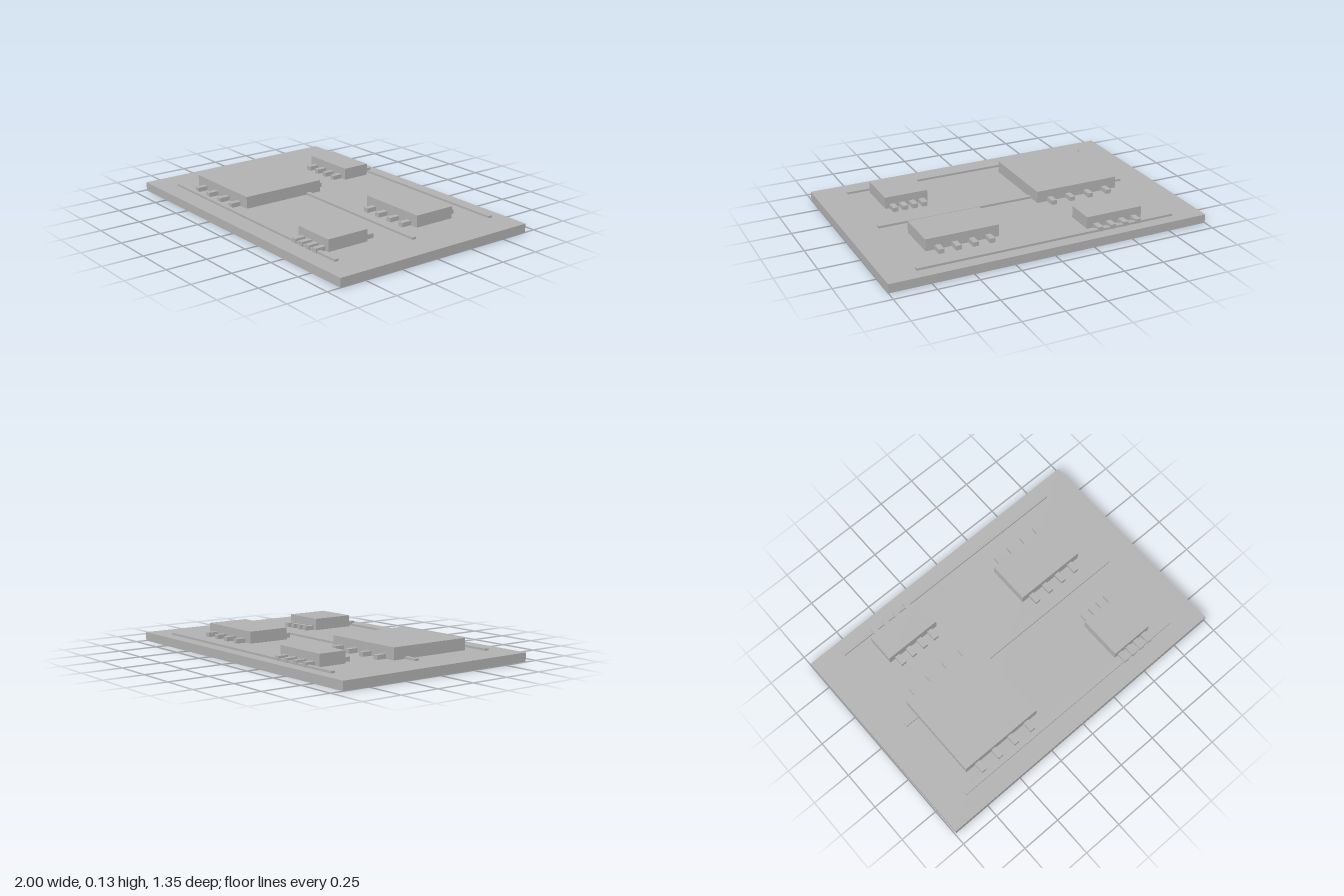
import * as THREE from 'three';

export function createModel() {
  const model = new THREE.Group();
  model.name = 'circuitBoard';
  const grey = new THREE.MeshStandardMaterial({ color: 0xb2b2b2 });
  grey.name = 'plain grey';

  const boardTop = 0.054;

  // Box given by its extents in x and z, standing on the board
  function addBox(parent, name, x0, x1, z0, z1, height) {
    const mesh = new THREE.Mesh(new THREE.BoxGeometry(x1 - x0, height, z1 - z0), grey);
    mesh.position.set((x0 + x1) / 2, boardTop + height / 2, (z0 + z1) / 2);
    mesh.name = name;
    parent.add(mesh);
  }

  // Board: a slightly skewed slab; shape y is -z
  const outline = new THREE.Shape([
    [-0.992, -0.675], [1, -0.664], [1, 0.679], [-1, 0.671],
  ].map(([x, y]) => new THREE.Vector2(x, y)));
  const slab = new THREE.ExtrudeGeometry(outline, { depth: boardTop, bevelEnabled: false });
  slab.rotateX(-Math.PI / 2);
  const board = new THREE.Mesh(slab, grey);
  board.name = 'board';
  model.add(board);

  // Three long raised traces
  for (const z of [-0.588, -0.001, 0.54]) {
    addBox(model, 'trace', -0.812, 0.807, z - 0.013, z + 0.013, 0.013);
  }

  // Chips with four pins on the front and back sides
  const pinLength = 0.064, pinWidth = 0.034;
  function addChip(name, x0, x1, z0, z1) {
    const chip = new THREE.Group();
    chip.name = name;
    addBox(chip, 'chipBody', x0, x1, z0, z1, 0.073);
    const width = x1 - x0, centre = (x0 + x1) / 2;
    for (let i = 0; i < 4; i++) {
      const x = centre + (i - 1.5) * width * 0.23;
      const left = x - pinWidth / 2, right = x + pinWidth / 2;
      addBox(chip, 'frontPin', left, right, z1, z1 + pinLength, 0.027);
      addBox(chip, 'backPin', left, right, z0 - pinLength, z0, 0.027);
    }
    model.add(chip);
  }
  addChip('largeChip', -0.724, -0.181, -0.092, 0.45);
  addChip('backLeftChip', -0.634, -0.273, -0.54, -0.363);
  addChip('backRightChip', 0.223, 0.675, -0.405, -0.138);
  addChip('frontRightChip', 0.404, 0.675, 0.224, 0.495);

  return model;
}
